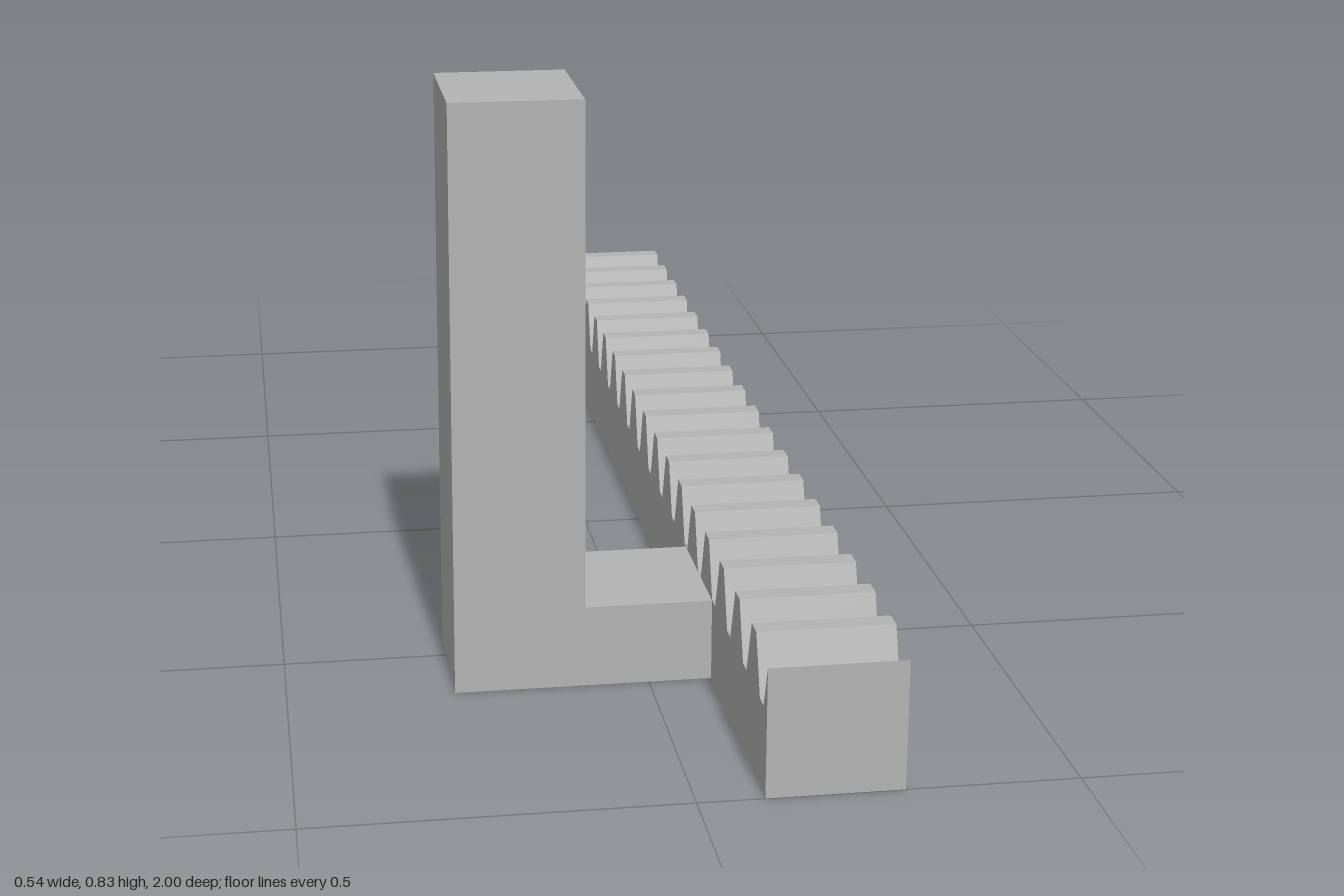
import * as THREE from 'three';

export function createModel() {
  const group = new THREE.Group();
  const grey = new THREE.MeshStandardMaterial({ color: 0xb3b3b3 });
  grey.name = 'plain grey';

  // Toothed rack: side profile drawn along z, then extruded across x
  const pitch = 0.1085, teeth = 18, firstTooth = 0.9125;
  const root = 0.117, tip = 0.195;
  const halfTip = 0.0146, halfBase = 0.043;
  const slope = (tip - root) / (halfBase - halfTip);
  const profile = new THREE.Shape();
  profile.moveTo(-1, 0);
  profile.lineTo(1, 0);
  // cut-off tooth at the front end
  const frontFoot = firstTooth + pitch - halfBase;
  profile.lineTo(1, root + (1 - frontFoot) * slope);
  profile.lineTo(frontFoot, root);
  for (let i = 0; i < teeth; i++) {
    const z = firstTooth - i * pitch;
    profile.lineTo(z + halfBase, root);
    profile.lineTo(z + halfTip, tip);
    profile.lineTo(z - halfTip, tip);
    profile.lineTo(z - halfBase, root);
  }
  // start of the next tooth at the back end
  const backFoot = firstTooth - teeth * pitch + halfBase;
  profile.lineTo(backFoot, root);
  profile.lineTo(-1, root + (backFoot + 1) * slope);
  profile.closePath();

  const rackGeometry = new THREE.ExtrudeGeometry(profile, { depth: 0.182, bevelEnabled: false });
  rackGeometry.rotateY(-Math.PI / 2);
  rackGeometry.translate(0.27, 0, 0);
  const rack = new THREE.Mesh(rackGeometry, grey);
  rack.name = 'toothedRack';
  group.add(rack);

  // L-shaped bracket: low arm and tall post in one outline
  const outline = new THREE.Shape([
    [-0.27, 0], [0.088, 0], [0.088, 0.116], [-0.089, 0.116], [-0.089, 0.827], [-0.27, 0.827],
  ].map(([x, y]) => new THREE.Vector2(x, y)));
  const bracketGeometry = new THREE.ExtrudeGeometry(outline, { depth: 0.206, bevelEnabled: false });
  bracketGeometry.translate(0, 0, 0.424);
  const bracket = new THREE.Mesh(bracketGeometry, grey);
  bracket.name = 'armAndPost';
  group.add(bracket);

  return group;
}
